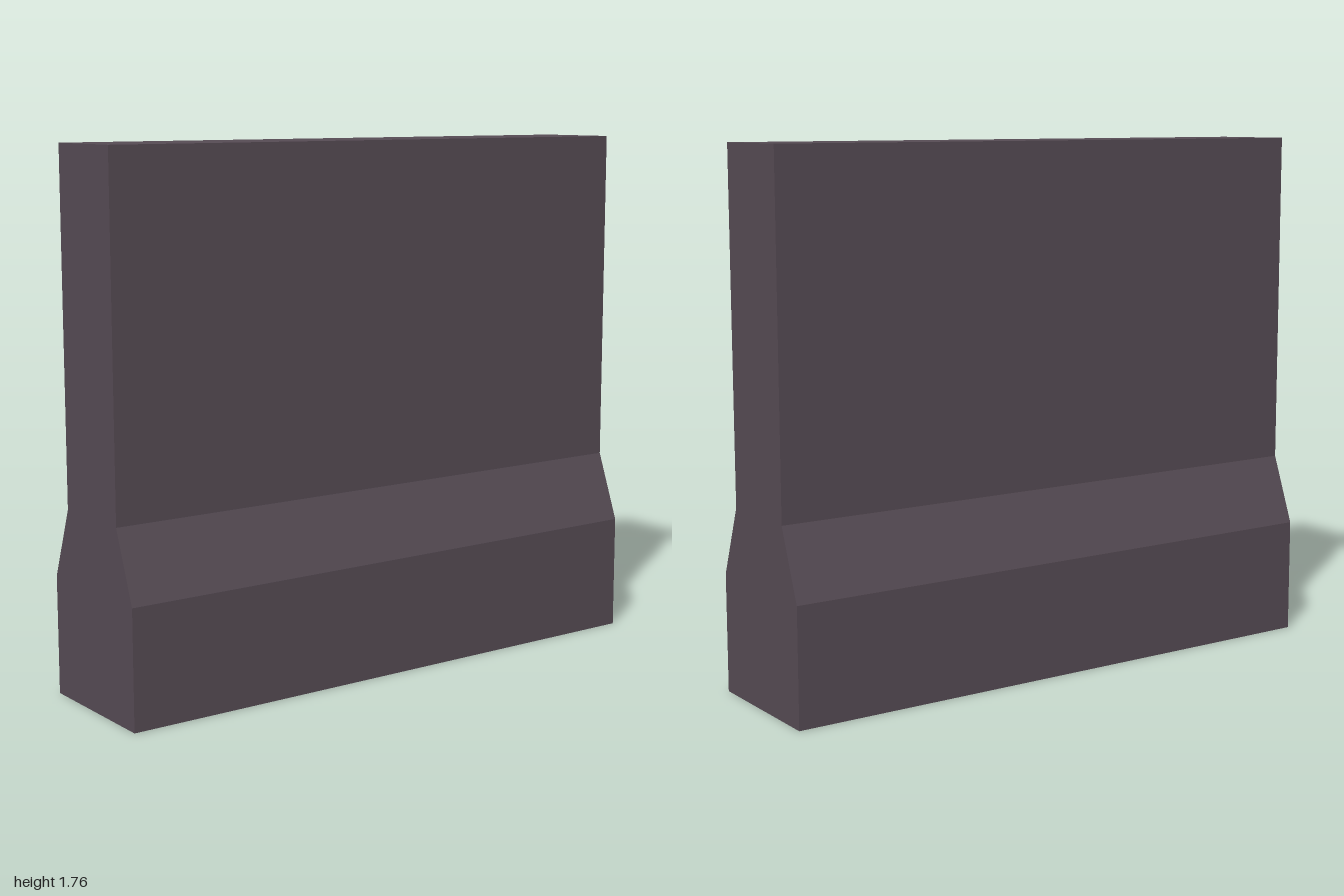
import * as THREE from 'three';

export function createModel() {
  const group = new THREE.Group();
  group.name = 'wallSegment';
  const stone = new THREE.MeshStandardMaterial({ color: 0x574c55 });
  stone.name = 'dark stone';

  // Half of the wall profile: (half thickness, height), mirrored for the other face
  const half = [[0.24, 0], [0.24, 0.39], [0.153, 0.62], [0.153, 1.76]];
  const mirrored = half.map(([x, y]) => [-x, y]).reverse();
  const shape = new THREE.Shape([...half, ...mirrored].map(([x, y]) => new THREE.Vector2(x, y)));

  // Extrude the profile along the length of the wall
  const geometry = new THREE.ExtrudeGeometry(shape, { depth: 2, bevelEnabled: false });
  geometry.translate(0, 0, -1).rotateY(Math.PI / 2);

  const wall = new THREE.Mesh(geometry, stone);
  wall.name = 'wall';
  group.add(wall);
  return group;
}
